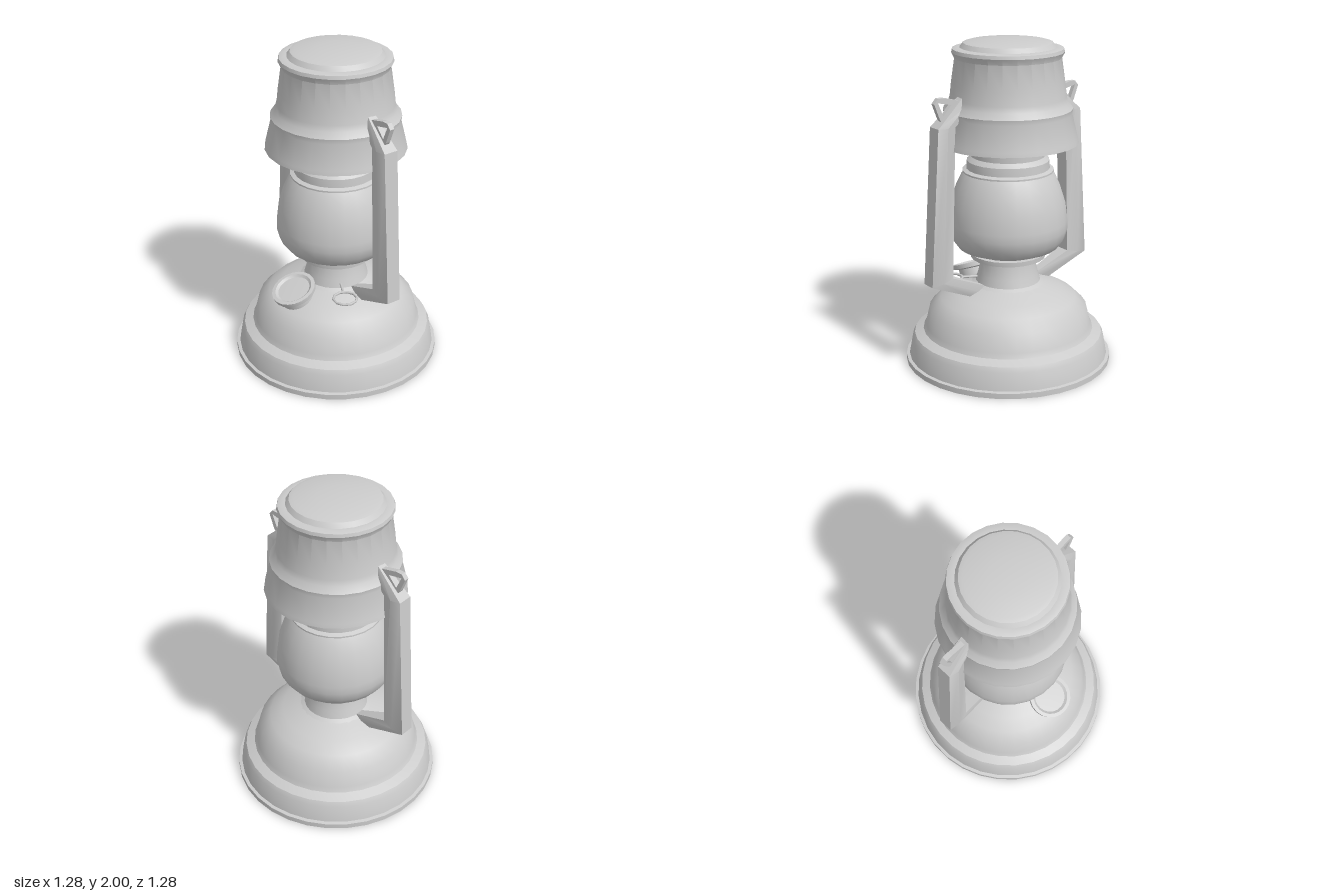
import * as THREE from 'three';
import { toCreasedNormals } from 'three/addons/utils/BufferGeometryUtils.js';

const grey = new THREE.MeshStandardMaterial({ color: 0xcccccc });
const greyDouble = new THREE.MeshStandardMaterial({ color: 0xcccccc, side: THREE.DoubleSide });

function part(name, geometry, material = grey) {
  const mesh = new THREE.Mesh(geometry, material);
  mesh.name = name;
  return mesh;
}

// Turned part from [radius, height] pairs, listed bottom to top on the outside
function turned(name, profile, segments = 24, material = grey) {
  const points = profile.map(([r, y]) => new THREE.Vector2(r, y));
  return part(name, toCreasedNormals(new THREE.LatheGeometry(points, segments), 0.62), material);
}

// Six-sided side tube: each station has outer [z, y], inner [z, y] and half width
function sideTube() {
  const stations = [
    [[0.27, 0.45], [0.17, 0.5], 0.03],
    [[0.58, 0.585], [0.435, 0.615], 0.06],
    [[0.52, 1.53], [0.405, 1.53], 0.06],
    [[0.34, 1.69], [0.3, 1.59], 0.035],
  ];
  const section = [[0.75, 0], [1, 0.5], [0.75, 1], [-0.75, 1], [-1, 0.5], [-0.75, 0]];
  const n = section.length, positions = [], index = [];
  for (const [outer, inner, half] of stations) {
    for (const [x, t] of section) {
      positions.push(x * half,
        THREE.MathUtils.lerp(outer[1], inner[1], t),
        THREE.MathUtils.lerp(outer[0], inner[0], t));
    }
  }
  for (let i = 0; i < stations.length - 1; i++) {
    for (let j = 0; j < n; j++) {
      const a = i * n + j, b = i * n + (j + 1) % n;
      index.push(a, b, b + n, a, b + n, a + n);
    }
  }
  const geometry = new THREE.BufferGeometry();
  geometry.setAttribute('position', new THREE.Float32BufferAttribute(positions, 3));
  geometry.setIndex(index);
  geometry.computeVertexNormals();
  return part('sideTube', toCreasedNormals(geometry, 0.6), greyDouble);
}

// Flat triangular eye that takes the carrying bail
function bailEye() {
  const vectors = list => list.map(([z, y]) => new THREE.Vector2(z, y));
  const shape = new THREE.Shape(vectors([
    [0.35, 1.63], [0.47, 1.55], [0.49, 1.58], [0.525, 1.67], [0.5, 1.7], [0.46, 1.7], [0.36, 1.675],
  ]));
  shape.holes.push(new THREE.Path(vectors([[0.41, 1.655], [0.5, 1.675], [0.465, 1.595]])));
  const geometry = new THREE.ExtrudeGeometry(shape, { depth: 0.03, bevelEnabled: false });
  geometry.translate(0, 0, -0.015).rotateY(-Math.PI / 2);
  return part('bailEye', geometry);
}

export function createModel() {
  const lantern = new THREE.Group();
  lantern.name = 'lantern';

  // Fuel tank with foot rim and stepped shoulder, running into the burner collar
  lantern.add(turned('fuelTank', [
    [0, 0], [0.64, 0], [0.64, 0.033], [0.62, 0.037], [0.6, 0.145], [0.585, 0.175], [0.53, 0.2],
    [0.515, 0.23], [0.49, 0.335], [0.42, 0.405], [0.34, 0.45], [0.25, 0.485], [0.2, 0.505],
  ], 32));
  lantern.add(turned('burnerCollar', [
    [0.25, 0.48], [0.2, 0.51], [0.185, 0.56], [0.165, 0.65], [0.165, 0.67],
  ]));
  lantern.add(turned('globePlate', [
    [0.15, 0.662], [0.23, 0.662], [0.232, 0.69], [0.15, 0.69],
  ]));

  // Glass globe
  lantern.add(turned('globe', [
    [0.17, 0.685], [0.21, 0.695], [0.31, 0.735], [0.35, 0.79], [0.365, 0.85], [0.364, 0.9],
    [0.35, 1.01], [0.318, 1.11], [0.285, 1.18], [0.265, 1.21],
  ]));

  // Chimney with flared lower lip
  lantern.add(turned('chimney', [
    [0.2, 1.205], [0.278, 1.205], [0.278, 1.215], [0.253, 1.225], [0.25, 1.275], [0.225, 1.3],
    [0.225, 1.7],
  ], 24, greyDouble));

  // Hood, open underneath, with a beaded band and rolled top rim
  lantern.add(turned('hood', [
    [0.425, 1.385], [0.42, 1.41], [0.383, 1.56], [0.388, 1.59], [0.36, 1.625], [0.349, 1.66],
    [0.34, 1.74], [0.318, 1.89], [0.335, 1.925], [0.33, 1.945], [0.3, 1.953], [0.27, 1.95],
  ], 24, greyDouble));
  lantern.add(turned('hoodLid', [
    [0.29, 1.945], [0.265, 1.978], [0.24, 1.985], [0.11, 1.998], [0, 2],
  ]));

  // Two side tubes with bail eyes, set slightly off the centre line
  for (const [name, angle] of [['frontArm', -0.06], ['backArm', Math.PI - 0.06]]) {
    const arm = new THREE.Group();
    arm.name = name;
    arm.add(sideTube(), bailEye());
    arm.rotation.y = angle;
    lantern.add(arm);
  }

  // Tilted filler cap: neck and rimmed disc
  const filler = turned('fillerCap', [
    [0.1, -0.13], [0.1, -0.02], [0.135, -0.012], [0.137, 0.014], [0.115, 0.016],
    [0.1, 0.004], [0, 0.008],
  ], 20);
  filler.position.set(-0.34, 0.515, 0.01);
  filler.rotation.z = 0.36;
  lantern.add(filler);

  // Wick adjuster: wire stem ending in a flat ring
  const adjuster = new THREE.Group();
  adjuster.name = 'wickAdjuster';
  const ring = part('wickRing', new THREE.TorusGeometry(0.072, 0.008, 6, 10));
  ring.rotation.x = Math.PI / 2;
  ring.position.z = 0.355;
  const stem = part('wickStem', new THREE.CylinderGeometry(0.008, 0.008, 0.16, 6));
  stem.rotation.x = Math.PI / 2;
  stem.position.z = 0.21;
  adjuster.add(ring, stem);
  adjuster.position.y = 0.533;
  adjuster.rotation.y = -0.53;
  lantern.add(adjuster);

  return lantern;
}
